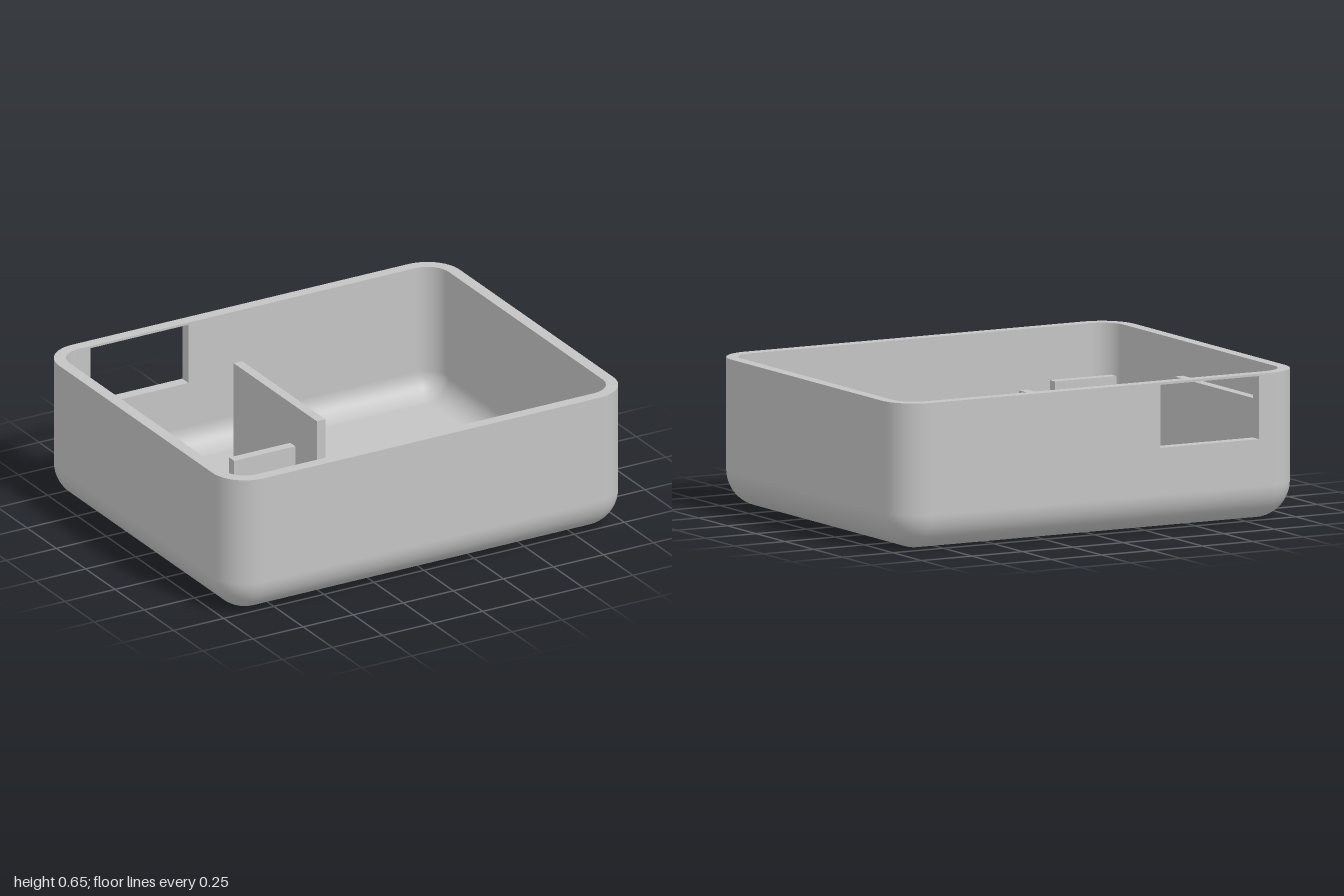
import * as THREE from 'three';

const CX = 0.84, CZ = 0.655;          // centres of the rounded corners
const R = 0.16, WALL = 0.053, H = 0.65;
const RIN = R - WALL;
const N = 12;                          // segments per quarter round

// Rounded-rectangle rings swept along a profile of [radius, y, normalOut, normalUp].
function shellGeometry() {
  const profile = [];
  for (let i = 0; i <= N; i++) {
    const t = (i / N) * Math.PI / 2;
    profile.push([R * Math.sin(t), R - R * Math.cos(t), Math.sin(t), -Math.cos(t)]);
  }
  profile.push([R, H, 1, 0], [R, H, 0, 1], [RIN, H, 0, 1], [RIN, H, -1, 0]);
  for (let i = N; i >= 0; i--) {
    const t = (i / N) * Math.PI / 2;
    profile.push([RIN * Math.sin(t), R - RIN * Math.cos(t), -Math.sin(t), Math.cos(t)]);
  }
  const pos = [], nor = [], idx = [];
  const cols = 4 * (N + 1), backCol = 3 * (N + 1) - 1;
  const signs = [[1, 1], [-1, 1], [-1, -1], [1, -1]];
  for (const [r, y, no, nu] of profile) {
    signs.forEach(([sx, sz], k) => {
      for (let i = 0; i <= N; i++) {
        const a = (k + i / N) * Math.PI / 2, c = Math.cos(a), s = Math.sin(a);
        pos.push(sx * CX + r * c, y, sz * CZ + r * s);
        nor.push(no * c, nu, no * s);
      }
    });
  }
  for (let p = 0; p < profile.length - 1; p++) {
    const upright = Math.min(profile[p][1], profile[p + 1][1]) > R - 1e-6;
    for (let j = 0; j < cols; j++) {
      if (upright && j === backCol) continue;   // the back panel fills this gap
      const a = p * cols + j, b = p * cols + (j + 1) % cols;
      idx.push(a, a + cols, b, b, a + cols, b + cols);
    }
  }
  const g = new THREE.BufferGeometry();
  g.setAttribute('position', new THREE.Float32BufferAttribute(pos, 3));
  g.setAttribute('normal', new THREE.Float32BufferAttribute(nor, 3));
  g.setIndex(idx);
  return g;
}

function rect(Type, x0, y0, x1, y1) {
  return new Type([[x0, y0], [x1, y0], [x1, y1], [x0, y1]].map(([x, y]) => new THREE.Vector2(x, y)));
}

// Floor layer with a round hole and three slots; shape y becomes -z.
function floorGeometry(holeRadius, y0, y1) {
  const shape = rect(THREE.Shape, -CX, -CZ, CX, CZ);
  const hole = new THREE.Path();
  hole.absarc(-0.533, 0.227, holeRadius, 0, Math.PI * 2, true);
  shape.holes.push(hole);
  for (const x of [-0.65, -0.536, -0.42]) {
    shape.holes.push(rect(THREE.Path, x - 0.024, -0.225, x + 0.024, -0.035));
  }
  const g = new THREE.ExtrudeGeometry(shape, { depth: y1 - y0, bevelEnabled: false, curveSegments: 48 });
  return g.rotateX(-Math.PI / 2).translate(0, y0, 0);
}

export function createModel() {
  const model = new THREE.Group();
  model.name = 'enclosure';
  const grey = new THREE.MeshStandardMaterial({ color: 0xc4c4c4 });
  grey.name = 'lightGrey';
  const add = (name, geometry) => {
    const mesh = new THREE.Mesh(geometry, grey);
    mesh.name = name;
    model.add(mesh);
  };

  // Rounded tray walls
  add('shell', shellGeometry());

  // Back wall panel with the rectangular opening
  const back = rect(THREE.Shape, -CX, R, CX, H);
  back.holes.push(rect(THREE.Path, -0.78, 0.365, -0.29, 0.64));
  add('backPanel', new THREE.ExtrudeGeometry(back, { depth: WALL, bevelEnabled: false })
    .translate(0, 0, -CZ - R));

  // Floor: the lower layer has a wider hole, forming a shallow recess underneath
  add('floorLower', floorGeometry(0.25, 0, 0.027));
  add('floorUpper', floorGeometry(0.174, 0.027, WALL));

  // Upright ribs standing on the floor: x0, x1, z0, z1
  const ribs = {
    sideRib: [-0.941, -0.897, -0.583, 0.126],
    middleRib: [-0.169, -0.126, -0.583, 0.126],
    frontRib: [-0.687, -0.382, 0.262, 0.305],
  };
  const ribTop = 0.5, ribBase = 0.045;
  for (const [name, [x0, x1, z0, z1]] of Object.entries(ribs)) {
    add(name, new THREE.BoxGeometry(x1 - x0, ribTop - ribBase, z1 - z0)
      .translate((x0 + x1) / 2, (ribTop + ribBase) / 2, (z0 + z1) / 2));
  }
  return model;
}
